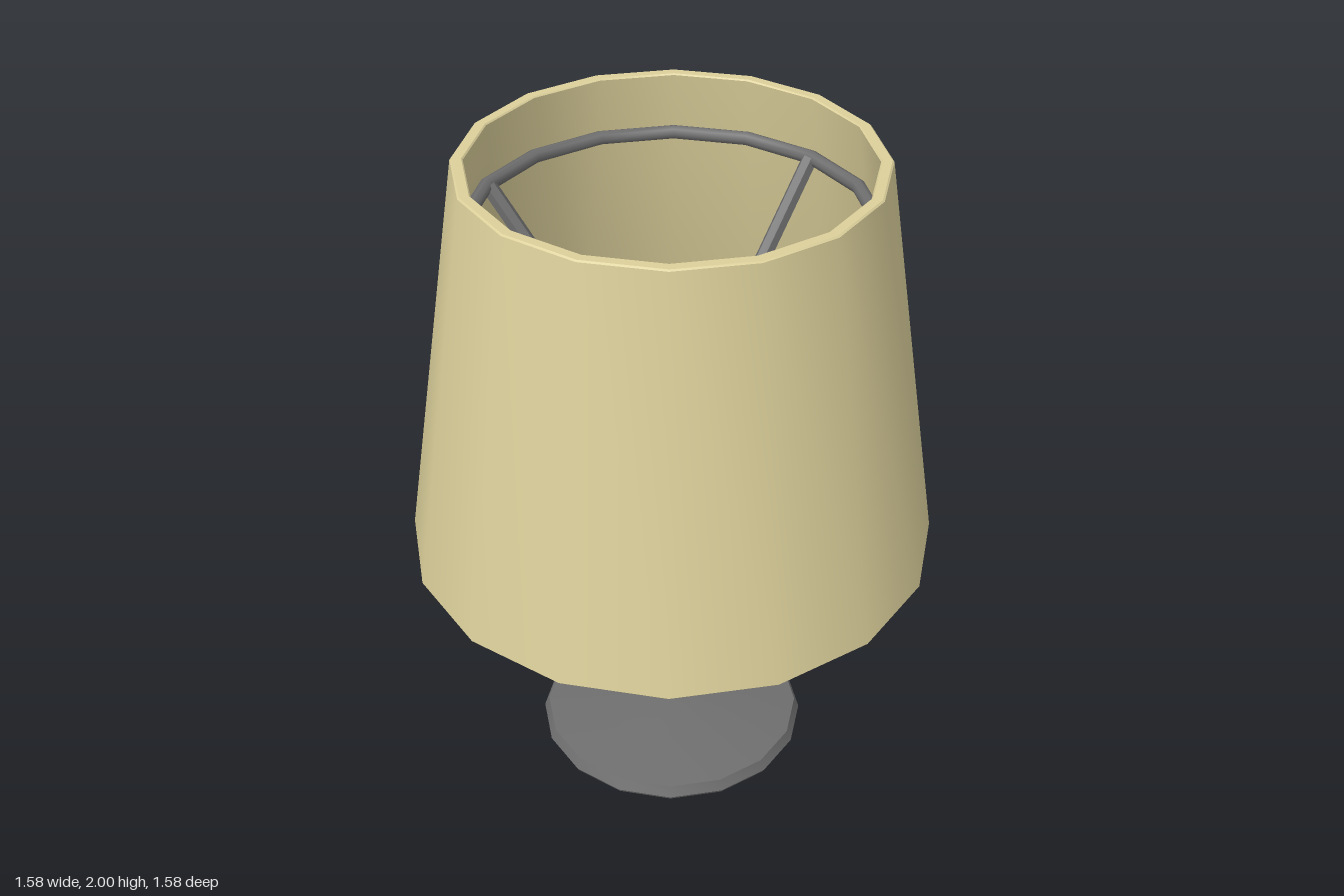
import * as THREE from 'three';
import { toCreasedNormals } from 'three/addons/utils/BufferGeometryUtils.js';

const SIDES = 16;

// Sixteen-sided turned part from [radius, height] pairs, listed from bottom to top
function turned(name, points, material) {
  const profile = points.map(([r, y]) => new THREE.Vector2(r, y));
  const geometry = toCreasedNormals(new THREE.LatheGeometry(profile, SIDES), 0.5);
  const mesh = new THREE.Mesh(geometry, material);
  mesh.name = name;
  return mesh;
}

// Straight rod between two points
function rod(name, a, b, radius, material) {
  const dir = b.clone().sub(a);
  const geometry = toCreasedNormals(new THREE.CylinderGeometry(radius, radius, dir.length(), 6), 0.5);
  const mesh = new THREE.Mesh(geometry, material);
  mesh.name = name;
  mesh.position.copy(a).add(b).multiplyScalar(0.5);
  mesh.quaternion.setFromUnitVectors(new THREE.Vector3(0, 1, 0), dir.normalize());
  return mesh;
}

export function createModel() {
  const lamp = new THREE.Group();
  lamp.name = 'tableLamp';
  const fabric = new THREE.MeshStandardMaterial({ color: 0xdcd09b });
  fabric.name = 'cream fabric';
  const metal = new THREE.MeshStandardMaterial({ color: 0x6e6e6e });
  metal.name = 'grey metal';

  // Foot disc with a shallow cone on top
  lamp.add(turned('foot', [
    [0, 0], [0.415, 0], [0.42, 0.01], [0.405, 0.043], [0.05, 0.092], [0, 0.092],
  ], metal));

  // Lower neck, diamond-shaped bulb, tapering column and rounded hub
  lamp.add(turned('neck', [[0.05, 0.085], [0.04, 0.23]], metal));
  lamp.add(turned('bulge', [
    [0, 0.22], [0.05, 0.22], [0.065, 0.235], [0.178, 0.395],
    [0.178, 0.412], [0.08, 0.5], [0.063, 0.525],
  ], metal));
  lamp.add(turned('column', [
    [0.063, 0.525], [0.04, 0.77], [0.04, 0.85], [0.055, 0.97], [0.07, 1.04],
    [0.07, 1.08], [0.061, 1.115], [0.035, 1.141], [0, 1.15],
  ], metal));

  // Ring carrying the shade
  const ring = new THREE.Mesh(new THREE.TorusGeometry(0.572, 0.021, 8, SIDES), metal);
  ring.name = 'shadeRing';
  ring.rotation.x = Math.PI / 2;
  ring.position.y = 1.81;
  lamp.add(ring);

  // Three sloping spokes from the hub to corners of the ring
  for (const corner of [4, 9, 14]) {
    const angle = (corner / SIDES) * Math.PI * 2;
    const at = (r, y) => new THREE.Vector3(r * Math.cos(angle), y, r * Math.sin(angle));
    lamp.add(rod('spoke', at(0.02, 1.07), at(0.565, 1.81), 0.024, metal));
  }

  // Hollow tapered shade with a thin wall
  lamp.add(turned('shade', [
    [0.757, 0.768], [0.782, 0.768], [0.79, 0.776], [0.597, 1.996], [0.592, 2],
    [0.565, 2], [0.561, 1.996], [0.753, 0.776], [0.757, 0.768],
  ], fabric));

  return lamp;
}
